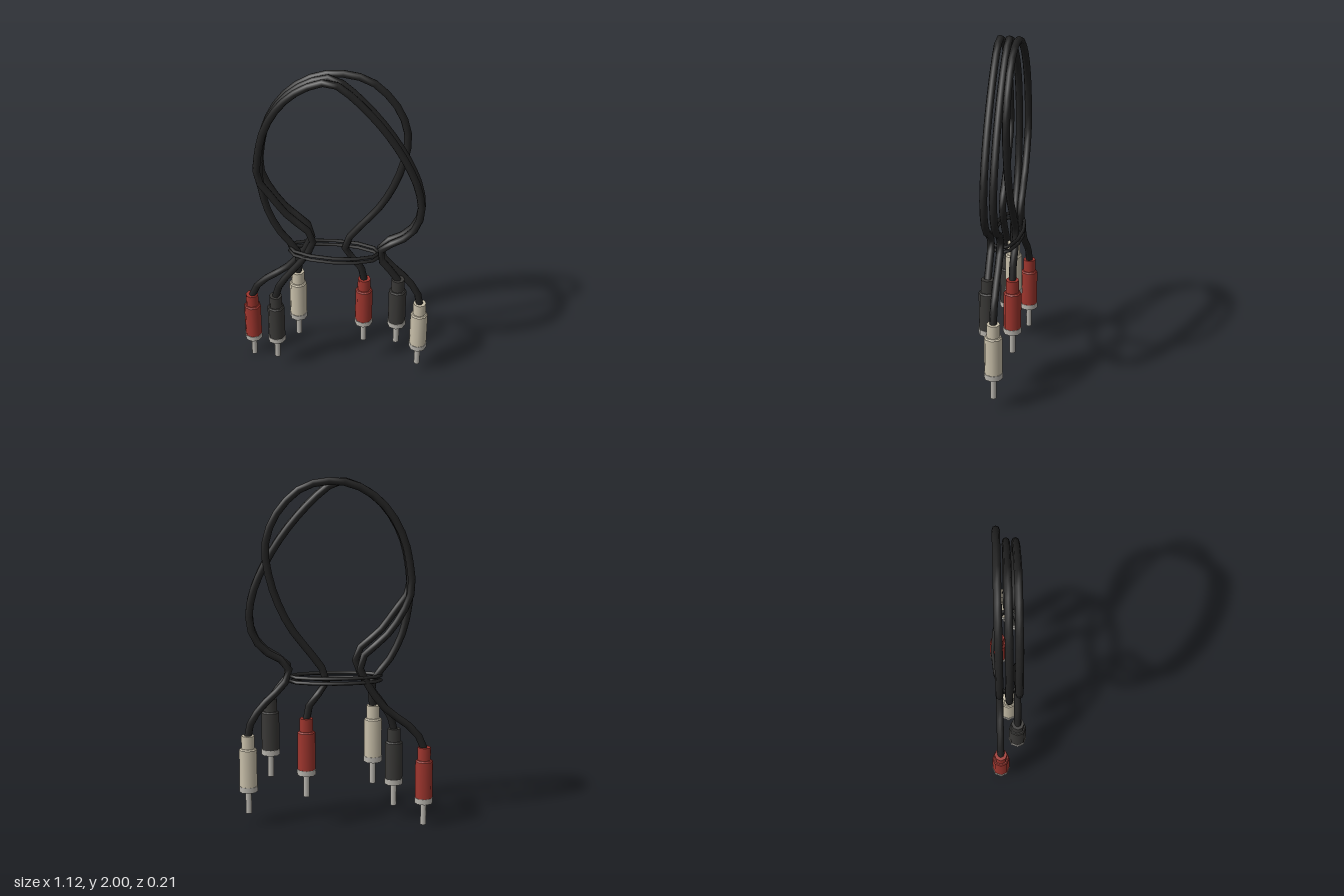
import * as THREE from 'three';

const mat = color => new THREE.MeshStandardMaterial({ color });
const rubber = mat(0x222222);
const metal = mat(0xb8b5ae);

function addMesh(parent, name, geometry, material, y = 0) {
  const mesh = new THREE.Mesh(geometry, material);
  mesh.name = name;
  mesh.position.y = y;
  parent.add(mesh);
  return mesh;
}

// Smooth path through flat x,y pairs at a constant depth
const path = (xy, z) => new THREE.CatmullRomCurve3(
  xy.map(([x, y]) => new THREE.Vector3(x, y, z)), false, 'centripetal');

// Eight-sided plug standing on its pin tip
function makePlug(name, x, y, z, color) {
  const plug = new THREE.Group();
  plug.name = name;
  plug.position.set(x, y, z);
  const plastic = mat(color);
  const section = (part, y0, y1, r0, r1, material) => addMesh(
    plug, part, new THREE.CylinderGeometry(r1, r0, y1 - y0, 8), material, (y0 + y1) / 2);
  section('pin', 0, 0.15, 0.0175, 0.0175, metal);
  section('collar', 0.131, 0.163, 0.0535, 0.0535, metal);
  section('body', 0.15, 0.38, 0.051, 0.051, plastic);
  section('shoulder', 0.38, 0.388, 0.051, 0.045, plastic);
  section('neck', 0.38, 0.463, 0.038, 0.038, plastic);
  return plug;
}

// Shared left loop, pinched kink above the tie, and the right side used by two cables
const leftLoop = [[-0.42, 1.36], [-0.41, 1.53], [-0.37, 1.68], [-0.28, 1.83], [-0.16, 1.93], [-0.03, 1.975]];
const leftKink = (dx, dy) => [[-0.165, 0.85], [-0.125, 0.945], [-0.15, 1.015], [-0.26, 1.11], [-0.35, 1.23]]
  .map(([x, y]) => [x + dx, y + dy]);
const rightLoop = [[0.02, 1.96], [0.13, 1.87], [0.28, 1.7], [0.4, 1.51], [0.47, 1.34], [0.487, 1.2],
  [0.455, 1.09], [0.38, 1.01], [0.285, 0.955], [0.262, 0.89]];

const cables = [
  {
    name: 'red', color: 0xa0362e, z: -0.053, ends: [[-0.507, 0], [0.17, 0.181]],
    points: [[-0.507, 0.45], [-0.47, 0.535], [-0.4, 0.605], [-0.285, 0.69], ...leftKink(-0.01, -0.008), ...leftLoop,
      [0.06, 1.975], [0.17, 1.95], [0.26, 1.885], [0.35, 1.765], [0.393, 1.62], [0.37, 1.44],
      [0.315, 1.28], [0.245, 1.15], [0.125, 0.995], [0.058, 0.89], [0.065, 0.82], [0.142, 0.745], [0.17, 0.63]],
  },
  {
    name: 'white', color: 0xcac1ab, z: 0, ends: [[-0.215, 0.24], [0.504, 0.07]],
    points: [[-0.215, 0.69], [-0.205, 0.77], [-0.215, 0.85], [-0.31, 0.975], [-0.385, 1.14], ...leftLoop,
      ...rightLoop, [0.31, 0.815], [0.42, 0.705], [0.485, 0.61], [0.504, 0.52]],
  },
  {
    name: 'black', color: 0x3a3937, z: 0.052, ends: [[-0.343, 0.086], [0.374, 0.275]],
    points: [[-0.343, 0.54], [-0.315, 0.635], [-0.245, 0.735], ...leftKink(0.008, 0.012), ...leftLoop,
      ...rightLoop, [0.315, 0.815], [0.374, 0.73]],
  },
];

// Oval tie ring lying level, with twelve straight links
class OvalRing extends THREE.Curve {
  getPoint(t, target = new THREE.Vector3()) {
    const a = t * Math.PI * 2;
    return target.set(0.26 * Math.sin(a), 0, 0.088 * Math.cos(a));
  }
  // Even angle steps keep the links symmetrical
  getPointAt(t, target) { return this.getPoint(t, target); }
  getTangentAt(t, target) { return this.getTangent(t, target); }
}

export function createModel() {
  const model = new THREE.Group();
  model.name = 'audioCables';

  // Three looped cables, each with a plug at both ends
  for (const { name, color, z, ends, points } of cables) {
    const cable = new THREE.Group();
    cable.name = name + 'Cable';
    addMesh(cable, 'cord', new THREE.TubeGeometry(path(points, z), 42, 0.021, 8), rubber);
    ends.forEach(([x, y], i) => cable.add(makePlug(i ? 'leftPlug' : 'rightPlug', x, y, z, color)));
    model.add(cable);
  }

  // Tie wound twice around the bundle
  for (const y of [0.849, 0.877]) {
    addMesh(model, 'tieRing', new THREE.TubeGeometry(new OvalRing(), 12, 0.0105, 6, true), rubber, y);
  }
  return model;
}
